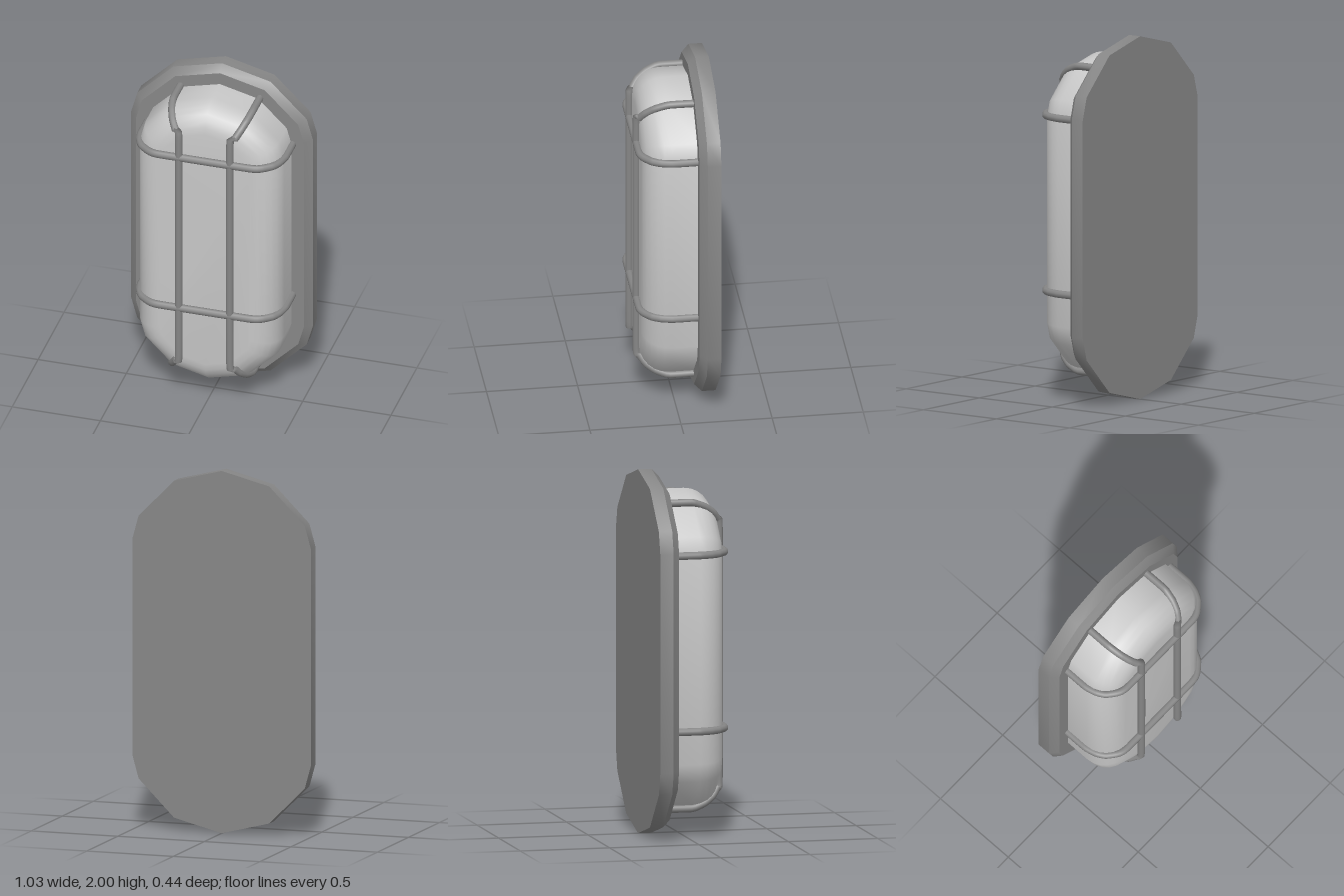
import * as THREE from 'three';
import { toCreasedNormals } from 'three/addons/utils/BufferGeometryUtils.js';

const housing = new THREE.MeshStandardMaterial({ color: 0x868686 });
housing.name = 'grey housing';
const glass = new THREE.MeshStandardMaterial({ color: 0xc8c8c8 });
glass.name = 'pale lens';

// One quarter of the faceted capsule outline, y measured from the arc centre
const quarter = [[0.515, 0.12], [0.48, 0.245], [0.275, 0.45], [0, 0.52]];
const ARC_CENTRE = 0.48;

// Full counter-clockwise outline, shrunk around the arc centres
function outline(scale) {
  const q = quarter.map(([x, y]) => [x * scale, ARC_CENTRE + y * scale]);
  const left = q.slice(0, 3).reverse().map(([x, y]) => [-x, y]);
  const top = [...q, ...left];
  return [...top, ...top.map(([x, y]) => [-x, -y])];
}

// Loft of capsule outlines from back to front, with flat caps
function loft(profile, crease) {
  const rings = profile.map(([r, z]) => outline(r / 0.52).map(([x, y]) => [x, y + 1, z]));
  const n = rings[0].length;
  const pos = [];
  const tri = (a, b, c) => pos.push(...a, ...b, ...c);
  for (let i = 0; i < rings.length - 1; i++) {
    for (let j = 0; j < n; j++) {
      const k = (j + 1) % n;
      tri(rings[i][j], rings[i][k], rings[i + 1][k]);
      tri(rings[i][j], rings[i + 1][k], rings[i + 1][j]);
    }
  }
  const back = rings[0], front = rings[rings.length - 1];
  for (let j = 1; j < n - 1; j++) {
    tri(back[0], back[j + 1], back[j]);
    tri(front[0], front[j], front[j + 1]);
  }
  const geo = new THREE.BufferGeometry();
  geo.setAttribute('position', new THREE.Float32BufferAttribute(pos, 3));
  return toCreasedNormals(geo, crease);
}

function wire(points) {
  const curve = new THREE.CatmullRomCurve3(points.map(p => new THREE.Vector3(...p)), false, 'catmullrom', 0.2);
  curve.arcLengthDivisions = 600;
  return new THREE.TubeGeometry(curve, 110, 0.021, 10);
}

export function createModel() {
  const group = new THREE.Group();
  const add = (name, geo, mat) => {
    const mesh = new THREE.Mesh(geo, mat);
    mesh.name = name;
    group.add(mesh);
  };

  // Back plate with chamfered front rim
  add('backPlate', loft([[0.52, -0.22], [0.52, -0.145], [0.48, -0.105]], 0.6), housing);

  // Domed lens with a rounded front edge
  const dome = [[0.41, -0.12]];
  for (let i = 0; i <= 6; i++) {
    const a = (i / 6) * Math.PI / 2;
    dome.push([0.26 + 0.15 * Math.cos(a), 0.035 + 0.15 * Math.sin(a)]);
  }
  add('lens', loft(dome, 0.7), glass);

  // Horizontal guard wires
  const bend = [[0.41, -0.12], [0.41, 0.03], [0.395, 0.095], [0.37, 0.14], [0.32, 0.18], [0.26, 0.197]];
  for (const [name, y] of [['upperGuardWire', 1.576], ['lowerGuardWire', 0.608]]) {
    const half = bend.map(([x, z]) => [x, y, z]);
    const other = half.map(([x, , z]) => [-x, y, z]).reverse();
    add(name, wire([...half, ...other]), housing);
  }

  // Vertical guard wires, splayed outwards at both ends
  const splay = [[0.225, 0.84, -0.12], [0.225, 0.84, 0.03], [0.212, 0.815, 0.1],
    [0.192, 0.78, 0.15], [0.165, 0.735, 0.183], [0.145, 0.695, 0.197]];
  for (const [name, s] of [['leftGuardWire', 1], ['rightGuardWire', -1]]) {
    const top = splay.map(([x, y, z]) => [s * x, 1 + y, z]);
    const bottom = splay.map(([x, y, z]) => [s * x, 1 - y, z]).reverse();
    add(name, wire([...top, ...bottom]), housing);
  }
  return group;
}
